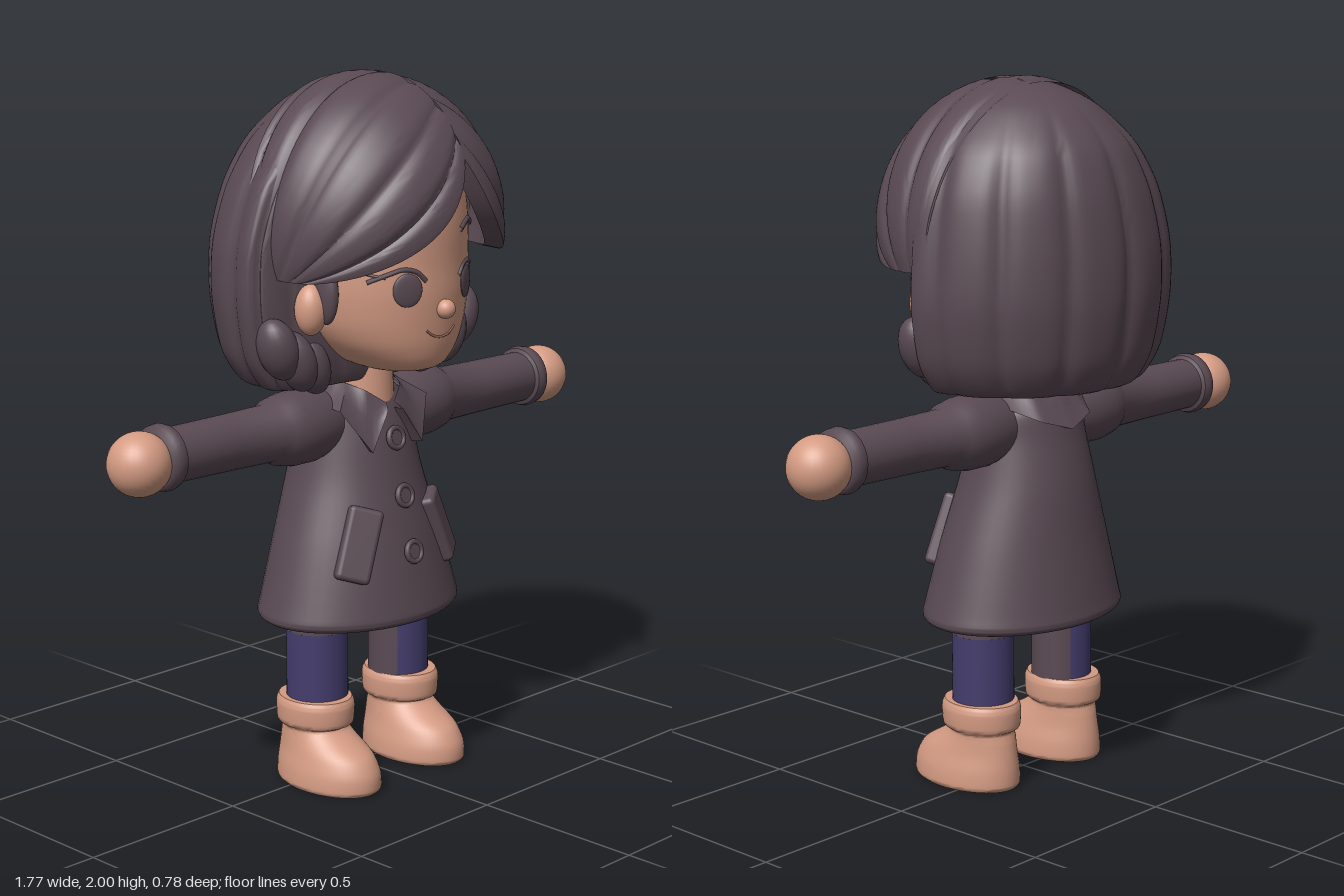
import * as THREE from 'three';
import { toCreasedNormals } from 'three/addons/utils/BufferGeometryUtils.js';
import { RoundedBoxGeometry } from 'three/addons/geometries/RoundedBoxGeometry.js';

const V = (x, y, z) => new THREE.Vector3(x, y, z);
const material = (name, color, side = THREE.FrontSide) => {
  const m = new THREE.MeshStandardMaterial({ color, side });
  m.name = name;
  return m;
};

// Grid surface from fn(u, v), smooth except at sharp folds
function surface(nu, nv, fn, crease = 0.9) {
  const pos = [], index = [];
  for (let j = 0; j <= nv; j++)
    for (let i = 0; i <= nu; i++) pos.push(...fn(i / nu, j / nv).toArray());
  for (let j = 0; j < nv; j++)
    for (let i = 0; i < nu; i++) {
      const a = j * (nu + 1) + i, b = a + nu + 1;
      index.push(a, a + 1, b + 1, a, b + 1, b);
    }
  const geo = new THREE.BufferGeometry();
  geo.setAttribute('position', new THREE.Float32BufferAttribute(pos, 3));
  geo.setIndex(index);
  return toCreasedNormals(geo, crease);
}

// Capped loft through rows [y, half width, front z, back z, centre x, widest z]
function loft(rows, { nu = 48, n = 36, ridge = () => 1, crease = 0.9 } = {}) {
  const spline = f => new THREE.CatmullRomCurve3(rows.map(f), false, 'catmullrom', 0.4);
  const A = spline(r => V(r[0], r[1], r[2]));
  const B = spline(r => V(r[3], r[4] ?? 0, r[5] ?? (r[2] + r[3]) / 2));
  return surface(nu, n + 2, (u, v) => {
    const k = THREE.MathUtils.clamp((v * (n + 2) - 1) / n, 0, 1);
    const p = A.getPoint(k), q = B.getPoint(k), a = u === 1 ? 0 : u * Math.PI * 2;
    const s = v === 0 || v === 1 ? 0 : ridge(a, p.x);
    const c = Math.cos(a);
    return V(q.y + p.y * Math.sin(a) * s, p.x, q.z + c * s * (c > 0 ? p.z - q.z : q.z - q.x));
  }, crease);
}

export function createModel() {
  const group = new THREE.Group();
  const plum = material('dark plum', 0x5a4a53, THREE.DoubleSide);
  const skin = material('warm skin', 0xd49b83);
  const navy = material('navy', 0x443d6d);
  const crease = material('lip brown', 0x9a6857);

  const add = (name, geo, mat, x = 0, y = 0, z = 0) => {
    const m = new THREE.Mesh(geo, mat);
    m.name = name;
    m.position.set(x, y, z);
    group.add(m);
    return m;
  };
  // First point of a mesh hit from the front, with its outward normal
  const hit = (target, x, y) => {
    const h = new THREE.Raycaster(V(x, y, 2), V(0, 0, -1)).intersectObject(target)[0];
    return { point: h.point, normal: h.normal ?? h.face.normal };
  };
  const stick = (mesh, target, x, y, lift = 0, roll = 0) => {
    const h = hit(target, x, y);
    mesh.position.copy(h.point).addScaledVector(h.normal, lift);
    mesh.lookAt(h.point.clone().addScaledVector(h.normal, 3));
    mesh.rotateZ(roll);
    return mesh;
  };
  const faceLine = (name, pts, r, mat, target) => {
    const curve = new THREE.CatmullRomCurve3(pts.map(([x, y]) => hit(target, x, y).point));
    add(name, new THREE.TubeGeometry(curve, 20, r, 6), mat);
  };

  // Head and neck
  const head = add('head', loft([
    [1.195, .03, .2, .12], [1.205, .1, .265, .05], [1.23, .15, .295, -.05], [1.28, .205, .31, -.12],
    [1.34, .245, .318, -.2], [1.42, .265, .325, -.25], [1.5, .27, .325, -.28], [1.6, .265, .33, -.3],
    [1.7, .245, .325, -.3], [1.78, .21, .3, -.27], [1.86, .13, .2, -.2], [1.9, .02, .03, -.03],
  ]), skin);
  add('neck', new THREE.CylinderGeometry(.08, .088, .22, 32), skin, 0, 1.15, .02);
  add('nose', new THREE.SphereGeometry(.027, 20, 14), skin, 0, 1.38, .33);

  // Coat, flaring to the hem and hollow underneath
  const coat = add('coat', loft([
    [.52, .28, .2, -.2], [.475, .305, .225, -.225], [.49, .325, .245, -.245], [.53, .315, .24, -.24],
    [.7, .265, .205, -.217], [.87, .208, .165, -.198], [1.0, .178, .137, -.172], [1.08, .165, .11, -.155],
    [1.13, .11, .08, -.12], [1.15, .08, .06, -.1],
  ]), plum);

  // Collar with two pointed lapels, folded under along its outer edge
  const inner = [[.015, 1.09, .125], [.07, 1.13, .095], [.105, 1.155, .01], [.08, 1.16, -.08], [0, 1.16, -.105]];
  const outer = [[.03, 1.07, .145], [.1, .965, .155], [.175, 1.085, .1], [.165, 1.1, -.07], [.1, 1.06, -.165], [0, 1.03, -.19]];
  const along = (pts, t) => {
    const k = Math.min(t * (pts.length - 1), pts.length - 1.0001), i = Math.floor(k);
    return V(...pts[i]).lerp(V(...pts[i + 1]), k - i);
  };
  add('collar', surface(60, 6, (u, v) => {
    const s = u * 2 - 1, t = 1 - Math.abs(s);
    const a = along(inner, t), b = along(outer, t);
    const under = b.clone().multiply(V(.85, 1, .8));
    const p = v <= .67 ? a.lerp(b, v / .67) : b.lerp(under, (v - .67) / .33);
    p.x *= s < 0 ? 1 : -1;
    return p;
  }, 0.6), plum);

  // Buttons: raised rim around a disc
  for (const y of [.99, .83, .675]) {
    stick(add('buttonRim', new THREE.TorusGeometry(.028, .008, 8, 28), plum), coat, 0, y, .008);
    const disc = new THREE.CylinderGeometry(.028, .028, .014, 28).rotateX(Math.PI / 2);
    stick(add('button', disc, plum), coat, 0, y, .004);
  }

  // Boot, shared by both feet
  const bootGeo = loft([
    [0, .108, .22, -.112], [.012, .116, .23, -.12], [.055, .112, .227, -.12], [.1, .1, .2, -.115],
    [.14, .09, .135, -.108], [.165, .087, .1, -.102], [.178, .1, .117, -.118], [.23, .103, .12, -.12],
    [.25, .095, .112, -.112],
  ]);
  const sleeve = [[0, .1], [.09, .13], [.104, .2], [.104, .27], [.094, .32], [.08, .345], [.077, .5], [.075, .7],
    [.086, .705], [.091, .72], [.088, .74], [.078, .75], [0, .75]].map(([r, y]) => new THREE.Vector2(r, y));
  const armGeo = toCreasedNormals(new THREE.LatheGeometry(sleeve, 32), 0.8);

  for (const s of [1, -1]) {
    const side = s > 0 ? 'left' : 'right';
    // Arms
    add(side + 'Sleeve', armGeo, plum, 0, 1.035, -.015).rotation.z = -s * Math.PI / 2;
    add(side + 'Hand', new THREE.SphereGeometry(.087, 32, 24), skin, s * .8, 1.03, -.015);
    // Legs: navy outside, dark along the inside and at the top
    const wide = 4.5, start = s * Math.PI / 2 - wide / 2 - s * .15;
    const leg = (from, len) => new THREE.CylinderGeometry(.088, .088, .22, 32, 1, true, from, len);
    add(side + 'Legging', leg(start, wide), navy, s * .167, .335, 0);
    add(side + 'LeggingInside', leg(start + wide, Math.PI * 2 - wide), plum, s * .167, .335, 0);
    add(side + 'LegTop', new THREE.CylinderGeometry(.088, .088, .11, 32), plum, s * .167, .5, 0);
    add(side + 'Boot', bootGeo, skin, s * .175, 0, 0);
    // Pockets
    stick(add(side + 'Pocket', new RoundedBoxGeometry(.1, .21, .05, 3, .015), plum), coat, s * .16, .715, 0, s * .28);
    // Ears
    const ear = add(side + 'Ear', new THREE.SphereGeometry(1, 24, 16), skin, s * .285, 1.385, .1);
    ear.scale.set(.045, .07, .045);
    // Eyes, lashes and brows
    const eye = stick(add(side + 'Eye', new THREE.SphereGeometry(1, 28, 16), plum), head, s * .115, 1.44);
    eye.scale.set(.042, .046, .008);
    const line = pts => pts.map(([x, y]) => [s * x, y]);
    faceLine(side + 'Lash', line([[.065, 1.462], [.09, 1.487], [.125, 1.496], [.16, 1.484], [.2, 1.463]]), .007, plum, head);
    faceLine(side + 'LashTip', line([[.165, 1.475], [.185, 1.48], [.205, 1.488]]), .004, plum, head);
    faceLine(side + 'Brow', line([[.065, 1.588], [.09, 1.602], [.125, 1.61], [.165, 1.592]]), .009, plum, head);
    // Sideburns and the locks curling in below the ears
    const burn = add(side + 'Sideburn', new THREE.SphereGeometry(1, 20, 14), plum, s * .262, 1.43, .135);
    burn.scale.set(.024, .085, .042);
    for (const [x, y, z, r] of [[.36, 1.28, .05, .055], [.3, 1.24, .06, .05], [.23, 1.22, .04, .05]]) {
      const lock = add(side + 'Lock', new THREE.SphereGeometry(1, 20, 16), plum, s * x, y, z);
      lock.scale.set(r, .09, .06);
      lock.rotation.z = -s * .35;
    }
  }

  // Smile
  faceLine('mouth', [[-.055, 1.325], [-.03, 1.308], [0, 1.302], [.03, 1.308], [.055, 1.325]], .0035, crease, head);

  // Bobbed back hair with strand ridges
  const fade = y => THREE.MathUtils.smoothstep(2 - y, 0, .3);
  add('backHair', loft([
    [1.15, .3, .05, -.27, 0, 0], [1.165, .355, .08, -.325, 0, 0], [1.25, .408, .095, -.372, 0, 0],
    [1.4, .434, .095, -.398, 0, 0], [1.55, .427, .09, -.397, 0, 0], [1.7, .39, .12, -.375, .012, 0],
    [1.82, .322, .17, -.33, .025, 0], [1.92, .215, .16, -.235, .03, 0], [1.975, .11, .11, -.13, .035, 0],
    [1.992, .02, .03, -.03, .04, 0],
  ], { nu: 168, n: 40, ridge: (a, y) => 1 - .045 * fade(y) * (1 - Math.abs(Math.sin(7 * a + .4 * Math.sin(a)))) ** 2 }), plum);

  // Swept fringe: strands run from the parting to the temple over an ellipsoid
  const centre = V(.02, 1.58, 0), radii = V(.4, .42, .39);
  const fringe = (name, low, high, strands) => add(name, surface(24, 72, (t, v) => {
    const s = Math.max(0, v * 1.06 - .06);
    const [a, b, c] = low.map((p, i) => V(...p).lerp(V(...high[i]), s));
    const d = new THREE.QuadraticBezierCurve3(a, b, c).getPoint(t).sub(centre).divide(radii).normalize();
    const groove = (1 - Math.abs(Math.sin(Math.PI * (strands * s + .25)))) ** 2;
    const r = v === 0 ? .86 : 1 - .04 * groove * Math.sin(Math.PI * Math.min(1, t * .8 + .15));
    return d.multiplyScalar(r).multiply(radii).add(centre);
  }, 1.0), plum);
  fringe('rightFringe',
    [[.06, 1.78, .34], [-.055, 1.54, .5], [-.35, 1.46, .15]],
    [[.07, 2, -.1], [-.42, 1.92, -.1], [-.38, 1.47, -.02]], 5);
  fringe('leftFringe',
    [[.06, 1.78, .34], [.19, 1.505, .43], [.37, 1.49, .17]],
    [[.07, 2, -.1], [.48, 1.92, -.1], [.42, 1.49, -.02]], 4);

  return group;
}
